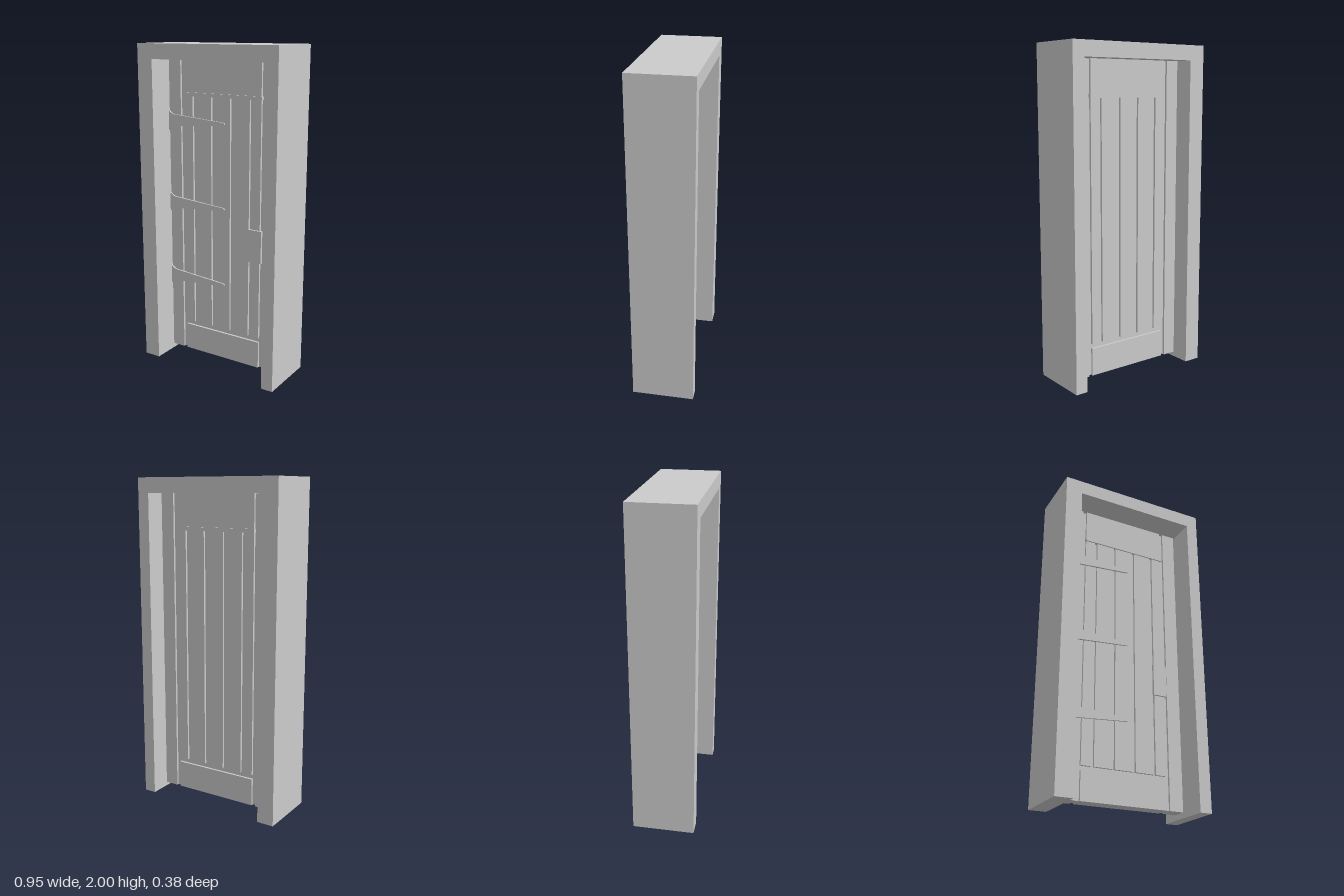
import * as THREE from 'three';

const FRONT = 0.02, BACK = -0.068;   // door faces
const GROOVE = 0.014;                // groove depth on both sides
const DEPTH = 0.375;                 // frame depth

export function createModel() {
  const model = new THREE.Group();
  const mat = new THREE.MeshStandardMaterial({ color: 0xcccccc });

  const add = (name, geo, parent) => {
    const mesh = new THREE.Mesh(geo, mat);
    mesh.name = name;
    parent.add(mesh);
    return mesh;
  };
  // box given by its limits
  const block = (name, x0, x1, y0, y1, z0, z1, parent) => {
    const mesh = add(name, new THREE.BoxGeometry(x1 - x0, y1 - y0, z1 - z0), parent);
    mesh.position.set((x0 + x1) / 2, (y0 + y1) / 2, (z0 + z1) / 2);
    return mesh;
  };

  // frame: one arch-like outline, open at the floor
  const outline = new THREE.Shape([
    [-0.475, 0], [-0.37, 0], [-0.37, 1.91], [0.4, 1.91],
    [0.4, 0], [0.475, 0], [0.475, 2], [-0.475, 2],
  ].map(([x, y]) => new THREE.Vector2(x, y)));
  const frame = new THREE.ExtrudeGeometry(outline, { depth: DEPTH, bevelEnabled: false });
  frame.translate(0, 0, -DEPTH / 2);
  add('frame', frame, model);

  // door leaf: a thin core carrying stiles, rails and planks
  const door = new THREE.Group();
  door.name = 'door';
  model.add(door);
  block('core', -0.36, 0.38, 0.032, 1.908, BACK + GROOVE, FRONT - GROOVE, door);
  block('hingeStile', -0.37, -0.285, 0.03, 1.91, BACK, FRONT, door);
  block('lockStile', 0.305, 0.392, 0.03, 1.91, BACK, FRONT, door);
  block('topRail', -0.26, 0.28, 1.70, 1.91, BACK, FRONT, door);
  block('bottomRail', -0.26, 0.28, 0.03, 0.2, BACK, FRONT, door);
  block('topMoulding', -0.264, 0.286, 1.69, 1.712, BACK - 0.008, FRONT + 0.008, door);

  const planks = [[-0.26, -0.197], [-0.18, -0.064], [-0.05, 0.07], [0.084, 0.204], [0.216, 0.28]];
  for (const [x0, x1] of planks) block('plank', x0, x1, 0.228, 1.69, BACK, FRONT, door);

  // strap hinge: flared at the stile, tapering to a blunt tip
  const strap = new THREE.Shape();
  strap.moveTo(-0.37, -0.06);
  strap.quadraticCurveTo(-0.35, -0.038, -0.325, -0.036);
  strap.lineTo(0.028, -0.009);
  strap.quadraticCurveTo(0.042, 0, 0.028, 0.009);
  strap.lineTo(-0.325, 0.036);
  strap.quadraticCurveTo(-0.35, 0.038, -0.37, 0.06);
  strap.closePath();
  const strapGeo = new THREE.ExtrudeGeometry(strap, { depth: 0.012, bevelEnabled: false, curveSegments: 6 });
  for (const y of [0.53, 1.018, 1.537]) {
    add('strapHinge', strapGeo, door).position.set(0, y, FRONT - 0.002);
  }

  // lock plate
  block('lockPlate', 0.208, 0.296, 0.72, 0.922, FRONT - 0.004, FRONT + 0.012, door);

  return model;
}
